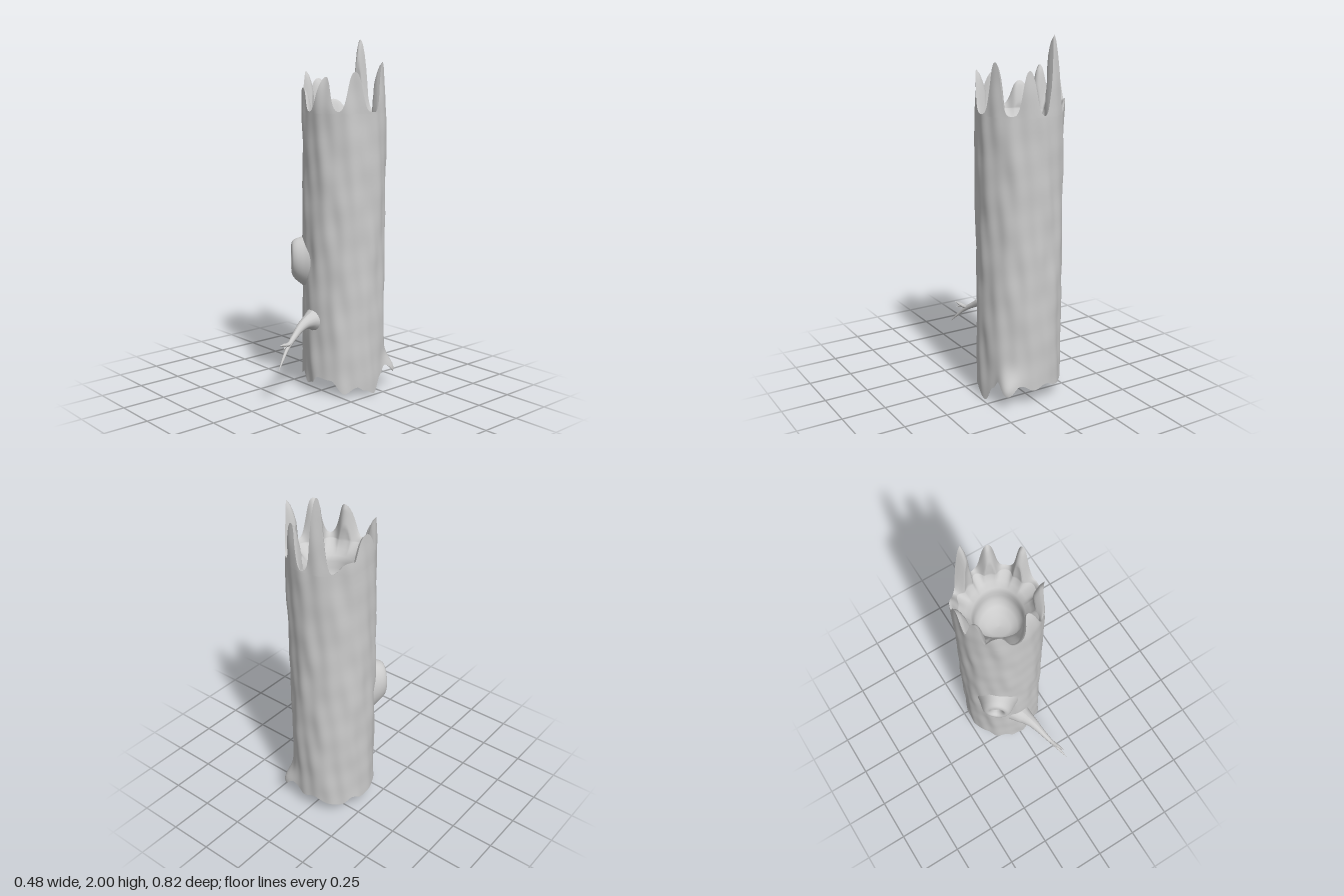
import * as THREE from 'three';

const SEG = 180;
const RAD = Math.PI / 180;
const AXIS_X = -0.003, AXIS_Z = -0.169; // trunk axis sits behind the origin
const bark = new THREE.MeshStandardMaterial({ color: 0xcccccc, side: THREE.DoubleSide });

// Splinters on the broken top: [angle from the front, tip height, angular width]
const SPLINTERS = [
  [17, 1.79, 10.5], [63, 1.815, 10], [115, 1.87, 8.5], [161, 1.83, 8.5],
  [202, 2.0, 8], [243, 1.66, 12], [268, 1.78, 14], [299, 1.82, 8.5], [328, 1.73, 11],
];
// Ragged lower edge: [angle, height]
const HEM = [
  [0, 0.065], [10, 0.105], [30, 0.095], [50, 0.02], [68, 0.055], [80, 0.03], [97, 0], [112, 0.09], [122, 0.14],
  [137, 0.08], [150, 0.13], [170, 0.09], [190, 0.11], [210, 0.08], [228, 0.07], [245, 0.11],
  [265, 0.08], [285, 0.1], [305, 0.12], [320, 0.07], [335, 0.1], [348, 0.05], [360, 0.065],
];

const angleGap = (a, b) => Math.abs(((a - b + 540) % 360) - 180);
const bump = (d, w) => Math.exp(-((d / w) ** 2));
const lerp = THREE.MathUtils.lerp;

// Blunt-tipped splinters with flared feet
function topEdge(deg) {
  let y = 0;
  for (const [a, tip, w] of SPLINTERS) {
    y = Math.max(y, (tip - 1.6) * Math.tanh(1.6 * bump(angleGap(deg, a), w)) / Math.tanh(1.6));
  }
  return 1.6 + y;
}

function bottomEdge(deg) {
  const i = HEM.findIndex(([a], k) => k > 0 && deg <= a);
  const [a0, y0] = HEM[i - 1], [a1, y1] = HEM[i];
  return lerp(y0, y1, THREE.MathUtils.smoothstep(deg, a0, a1));
}

// Outer radius with broken-up ridges, uneven bark and one flared root
function radius(deg, y) {
  const a = deg * RAD;
  const ridges = 0.0025 * Math.sin(9 * a + 2 * Math.sin(y * 4)) + 0.0015 * Math.sin(17 * a + y * 7);
  const lumps = 0.003 * Math.sin(y * 11 + 2 * a) * Math.sin(3 * a + y * 5)
    + 0.0015 * Math.sin(y * 27 + 5 * a) * Math.sin(7 * a - y * 9);
  const root = 0.064 * bump(angleGap(deg, 137), 13) * bump(y - 0.1, 0.09);
  // splinters lean inward, most of all at the front
  const lean = y > 1.6 ? (0.13 + bump(angleGap(deg, 12), 25)) * (y - 1.6) ** 2 : 0;
  return 0.235 + ridges + lumps + root - lean;
}

// Closed rings stacked into a surface; each row maps an angle to [radius, y]
function ringSurface(name, rows) {
  const pos = [], index = [];
  for (const row of rows) {
    for (let j = 0; j < SEG; j++) {
      const deg = (j / SEG) * 360, [r, y] = row(deg);
      pos.push(AXIS_X + r * Math.sin(deg * RAD), y, AXIS_Z + r * Math.cos(deg * RAD));
    }
  }
  for (let i = 0; i < rows.length - 1; i++) {
    for (let j = 0; j < SEG; j++) {
      const k = (j + 1) % SEG, a = i * SEG, b = a + SEG;
      index.push(a + j, a + k, b + k, a + j, b + k, b + j);
    }
  }
  const g = new THREE.BufferGeometry();
  g.setAttribute('position', new THREE.Float32BufferAttribute(pos, 3));
  g.setIndex(index);
  g.computeVertexNormals();
  const mesh = new THREE.Mesh(g, bark);
  mesh.name = name;
  return mesh;
}

const steps = (n, fn) => Array.from({ length: n + 1 }, (_, i) => fn(i / n));

function makeTrunk() {
  const shaft = steps(50, t => deg => {
    const y = lerp(bottomEdge(deg), 1.59, t ** 1.2);
    return [radius(deg, y), y];
  });
  const splinters = steps(12, t => deg => {
    const y = lerp(1.595, topEdge(deg), t);
    return [radius(deg, y), y];
  });
  return ringSurface('trunkBark', [...shaft, ...splinters]);
}

function makeTopHollow() {
  // Inner faces of the splinters, thickening downward
  const inner = steps(12, t => deg => {
    const top = topEdge(deg), y = lerp(top, 1.58, t);
    return [radius(deg, y) - 0.05 * Math.min(1, (top - y) / 0.12) ** 0.6, y];
  });
  // Sloping ledge, then a steep-sided bowl
  const bowl = [[0.165, 1.54], [0.14, 1.51], [0.13, 1.48], [0.13, 1.44], [0.122, 1.4], [0.1, 1.365], [0.06, 1.345], [0, 1.34]]
    .map(([r, y]) => deg => [r * (1 + 0.04 * Math.sin(3 * deg * RAD)), y]);
  return ringSurface('topHollow', [...inner, ...bowl]);
}

function makeUnderside() {
  const dome = [[0, 0.3], [0.07, 0.295], [0.12, 0.275], [0.155, 0.24]].map(p => () => p);
  // Thick lip running down to the ragged edge
  const wall = steps(7, t => deg => {
    const y = lerp(0.2, bottomEdge(deg), t);
    return [radius(deg, y) - 0.055 * (1 - t) ** 0.6, y];
  });
  return ringSurface('underside', [...dome, ...wall]);
}

// Oval burl with a hollow centre, spreading into the bark
function makeKnot() {
  const profile = [[0.001, -0.06], [0.022, -0.056], [0.032, -0.035], [0.038, -0.012], [0.048, 0.002], [0.06, 0.006],
    [0.077, 0], [0.091, -0.018], [0.102, -0.042], [0.113, -0.068], [0.13, -0.1], [0.145, -0.13]];
  const curve = new THREE.SplineCurve(profile.map(([r, h]) => new THREE.Vector2(r, h)));
  const g = new THREE.LatheGeometry(curve.getPoints(40).reverse(), 40);
  g.rotateX(Math.PI / 2);
  const p = g.attributes.position;
  for (let i = 0; i < p.count; i++) { // stretch tall, with the opening set a little high
    p.setXYZ(i, p.getX(i) * 0.93, p.getY(i) * 1.3 + 0.25 * (p.getZ(i) + 0.06), p.getZ(i));
  }
  g.computeVertexNormals();
  const knot = new THREE.Mesh(g, bark);
  const a = -36 * RAD;
  knot.name = 'hollowKnot';
  knot.position.set(AXIS_X + 0.294 * Math.sin(a), 0.745, AXIS_Z + 0.294 * Math.cos(a));
  knot.rotation.y = a;
  return knot;
}

// Tapered tube; nodes are [x, y, z, radius]
function makeTwig(name, nodes, sides = 14) {
  const curve = new THREE.CatmullRomCurve3(nodes.map(n => new THREE.Vector3(n[0], n[1], n[2])));
  const n = nodes.length * 6;
  const g = new THREE.TubeGeometry(curve, n, 1, sides);
  const p = g.attributes.position, c = new THREE.Vector3(), v = new THREE.Vector3();
  for (let i = 0; i <= n; i++) {
    // map arc length back to the node spacing to read the radius
    const t = curve.getUtoTmapping(i / n) * (nodes.length - 1);
    const k = Math.min(Math.floor(t), nodes.length - 2);
    const r = lerp(nodes[k][3], nodes[k + 1][3], t - k);
    curve.getPointAt(i / n, c);
    for (let j = 0; j <= sides; j++) {
      const q = i * (sides + 1) + j;
      v.fromBufferAttribute(p, q).sub(c).multiplyScalar(r).add(c);
      p.setXYZ(q, v.x, v.y, v.z);
    }
  }
  g.computeVertexNormals();
  const mesh = new THREE.Mesh(g, bark);
  mesh.name = name;
  return mesh;
}

function makeBranch() {
  const branch = new THREE.Group();
  branch.name = 'branch';
  branch.add(
    makeTwig('branchStem', [[-0.008, 0.43, 0.03, 0.082], [-0.002, 0.43, 0.065, 0.059], [0.01, 0.432, 0.1, 0.044],
      [0.025, 0.43, 0.145, 0.032], [0.038, 0.415, 0.19, 0.024], [0.052, 0.388, 0.235, 0.018],
      [0.067, 0.36, 0.28, 0.014], [0.084, 0.325, 0.325, 0.01], [0.103, 0.283, 0.367, 0.007], [0.121, 0.238, 0.408, 0.001]]),
    makeTwig('upperFork', [[0.06, 0.37, 0.26, 0.011], [0.076, 0.354, 0.305, 0.012], [0.09, 0.36, 0.345, 0.01],
      [0.105, 0.37, 0.385, 0.001]], 10),
    makeTwig('smallTip', [[0.08, 0.354, 0.315, 0.008], [0.092, 0.349, 0.34, 0.006], [0.108, 0.343, 0.362, 0.001]], 8),
  );
  return branch;
}

export function createModel() {
  const model = new THREE.Group();
  model.name = 'hollowTreeStump';
  model.add(makeTrunk(), makeTopHollow(), makeUnderside(), makeKnot(), makeBranch());
  return model;
}
